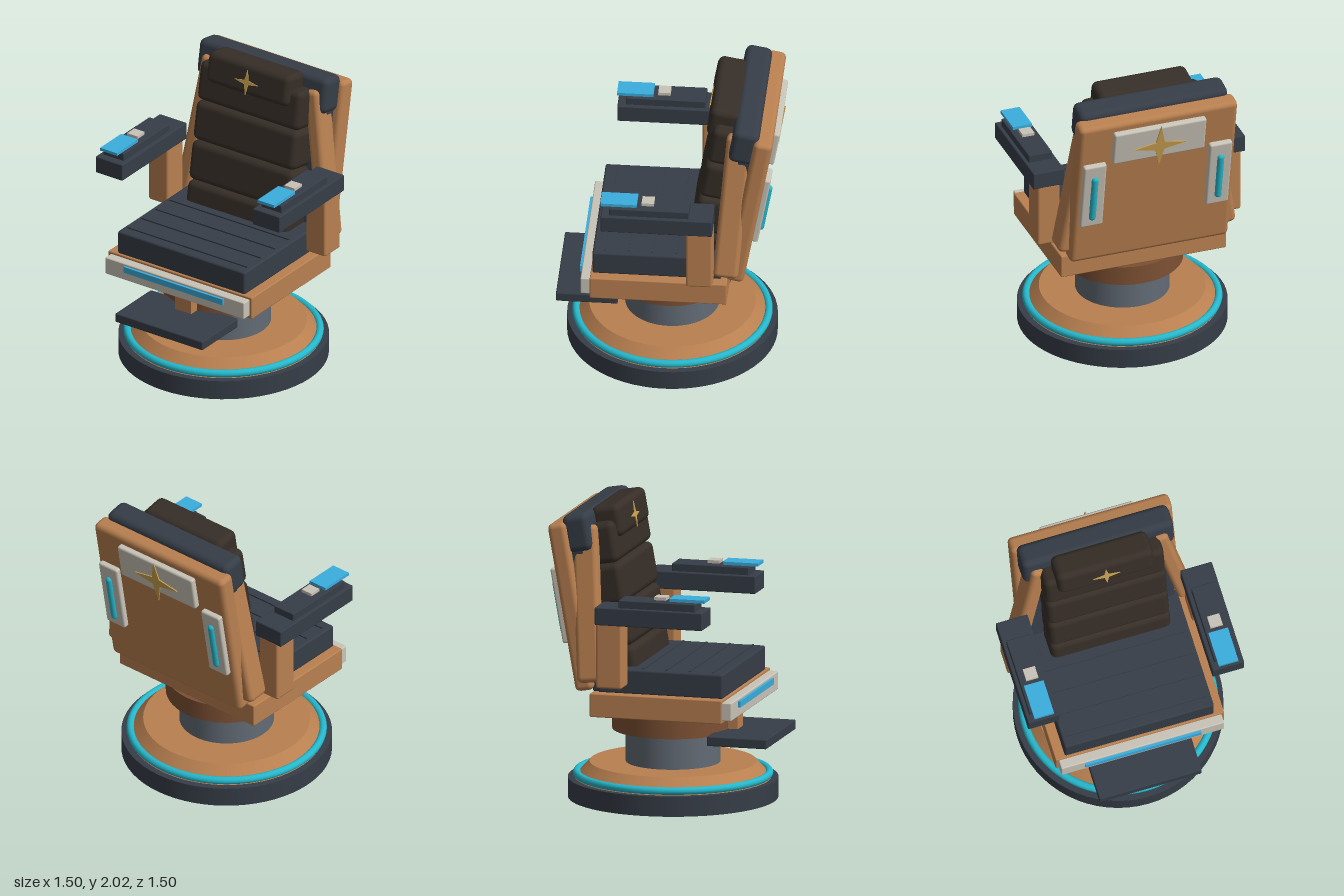
import * as THREE from 'three';
import { RoundedBoxGeometry } from 'three/addons/geometries/RoundedBoxGeometry.js';

const material = (name, color) => {
  const m = new THREE.MeshStandardMaterial({ color });
  m.name = name;
  return m;
};

export function createModel() {
  const tan = material('tan shell', 0xb98050);
  const brown = material('brown ring', 0x7d5033);
  const dark = material('dark slate', 0x363d47);
  const leather = material('dark leather', 0x362e27);
  const steel = material('steel grey', 0x626b75);
  const white = material('warm white', 0xc9c4b8);
  const cyan = material('cyan glow', 0x25b8cc);
  const blue = material('blue panel', 0x3aaede);
  const gold = material('gold', 0xc9a050);

  const chair = new THREE.Group();
  chair.name = 'chair';

  const add = (parent, name, geometry, mat, x = 0, y = 0, z = 0) => {
    const mesh = new THREE.Mesh(geometry, mat);
    mesh.name = name;
    mesh.position.set(x, y, z);
    parent.add(mesh);
    return mesh;
  };
  // Box given by its minimum and maximum on each axis; r > 0 softens the edges
  const block = (parent, name, mat, [x0, x1], [y0, y1], [z0, z1], r = 0) => {
    const size = [x1 - x0, y1 - y0, z1 - z0];
    const geometry = r ? new RoundedBoxGeometry(...size, 2, r) : new THREE.BoxGeometry(...size);
    return add(parent, name, geometry, mat, (x0 + x1) / 2, (y0 + y1) / 2, (z0 + z1) / 2);
  };
  const drum = (name, mat, rTop, rBottom, y0, y1) =>
    add(chair, name, new THREE.CylinderGeometry(rTop, rBottom, y1 - y0, 64), mat, 0, (y0 + y1) / 2, 0.01);

  // Four-pointed star plate facing +z
  const star = (rx, ry, inner) => {
    const shape = new THREE.Shape();
    for (let i = 0; i < 8; i++) {
      const a = (i * Math.PI) / 4;
      const tip = i % 2 === 0;
      const x = Math.cos(a) * (tip ? rx : inner);
      const y = Math.sin(a) * (tip ? ry : inner);
      if (i) shape.lineTo(x, y);
      else shape.moveTo(x, y);
    }
    return new THREE.ExtrudeGeometry(shape, { depth: 0.008, bevelEnabled: false });
  };

  // Round pedestal
  drum('basePlate', dark, 0.7, 0.7, 0, 0.135);
  drum('baseDome', tan, 0.555, 0.655, 0.135, 0.24);
  const ring = add(chair, 'baseGlowRing', new THREE.TorusGeometry(0.64, 0.026, 12, 72), cyan, 0, 0.162, 0.01);
  ring.rotation.x = Math.PI / 2;
  drum('column', steel, 0.315, 0.315, 0.24, 0.465);
  drum('swivelRing', brown, 0.405, 0.405, 0.465, 0.6);
  drum('swivelNeck', brown, 0.36, 0.36, 0.6, 0.63);

  // Footrest
  block(chair, 'footrestStem', tan, [-0.065, 0.065], [0.45, 0.63], [0.28, 0.475]);
  block(chair, 'footrest', dark, [-0.355, 0.355], [0.425, 0.49], [0.345, 0.757], 0.008);

  // Seat
  block(chair, 'seatFrame', tan, [-0.585, 0.585], [0.625, 0.785], [-0.4, 0.512], 0.008);
  block(chair, 'seatFrontTrim', white, [-0.565, 0.565], [0.645, 0.768], [0.5, 0.575], 0.008);
  block(chair, 'seatFrontLight', blue, [-0.403, 0.403], [0.71, 0.752], [0.57, 0.592]);
  block(chair, 'seatCushion', dark, [-0.518, 0.518], [0.78, 0.947], [-0.36, 0.5], 0.014);
  for (let i = 0; i < 4; i++) {
    const z = -0.057 + i * 0.16;
    block(chair, 'seatSeam', dark, [-0.485, 0.485], [0.94, 0.956], [z - 0.006, z + 0.006]);
  }

  // Reclined back: local y runs up the back, local z points forward
  const back = new THREE.Group();
  back.name = 'backrest';
  back.position.set(0, 0.8, -0.4);
  back.rotation.x = -0.175;
  chair.add(back);
  block(back, 'backShell', tan, [-0.56, 0.56], [0, 1.14], [-0.11, 0.016], 0.035);
  block(back, 'backPanel', dark, [-0.5, 0.5], [-0.02, 1.08], [-0.005, 0.1], 0.015);
  block(back, 'backTopCap', dark, [-0.527, 0.527], [0.925, 1.18], [-0.015, 0.165], 0.045);
  for (let i = 0; i < 4; i++) {
    const y = 0.1 + i * 0.282;
    block(back, 'backCushion', leather, [-0.417, 0.417], [y - 0.139, y + 0.139], [0.07, 0.297], 0.045);
  }
  block(back, 'headrest', leather, [-0.335, 0.335], [0.962, 1.185], [0.135, 0.335], 0.045);
  add(back, 'headrestStar', star(0.094, 0.089, 0.022), gold, 0, 1.055, 0.333);

  // Rear plates and lights
  block(back, 'rearPlate', white, [-0.325, 0.325], [0.832, 1.082], [-0.15, -0.1], 0.014);
  const rearStar = add(back, 'rearStar', star(0.185, 0.165, 0.043), gold, 0, 0.93, -0.15);
  rearStar.rotation.y = Math.PI;

  for (const s of [-1, 1]) {
    const side = s > 0 ? 'left' : 'right';
    const span = (a, b) => (s > 0 ? [a, b] : [-b, -a]);

    block(back, side + 'RearSidePlate', white, span(0.365, 0.525), [0.33, 0.84], [-0.148, -0.1], 0.014);
    add(back, side + 'RearLight', new THREE.CapsuleGeometry(0.024, 0.315, 6, 14), cyan, s * 0.445, 0.57, -0.147);

    // Side bolster leaning inward at the top
    const wing = add(chair, side + 'Wing', new RoundedBoxGeometry(0.11, 1.05, 0.17, 3, 0.035), tan, s * 0.497, 1.375, -0.435);
    wing.rotation.set(-0.08, 0, s * 0.155);

    // Arm
    block(chair, side + 'ArmPost', tan, span(0.56, 0.72), [0.85, 1.3], [-0.318, -0.14], 0.016);
    block(chair, side + 'Armrest', dark, span(0.53, 0.75), [1.285, 1.405], [-0.318, 0.425], 0.008);
    block(chair, side + 'ArmPad', dark, span(0.558, 0.725), [1.4, 1.457], [-0.16, 0.37], 0.006);
    block(chair, side + 'ArmScreen', blue, span(0.572, 0.708), [1.464, 1.485], [0.188, 0.43]);
    block(chair, side + 'ArmButton', white, span(0.598, 0.682), [1.464, 1.485], [0.075, 0.157]);
  }
  return chair;
}
